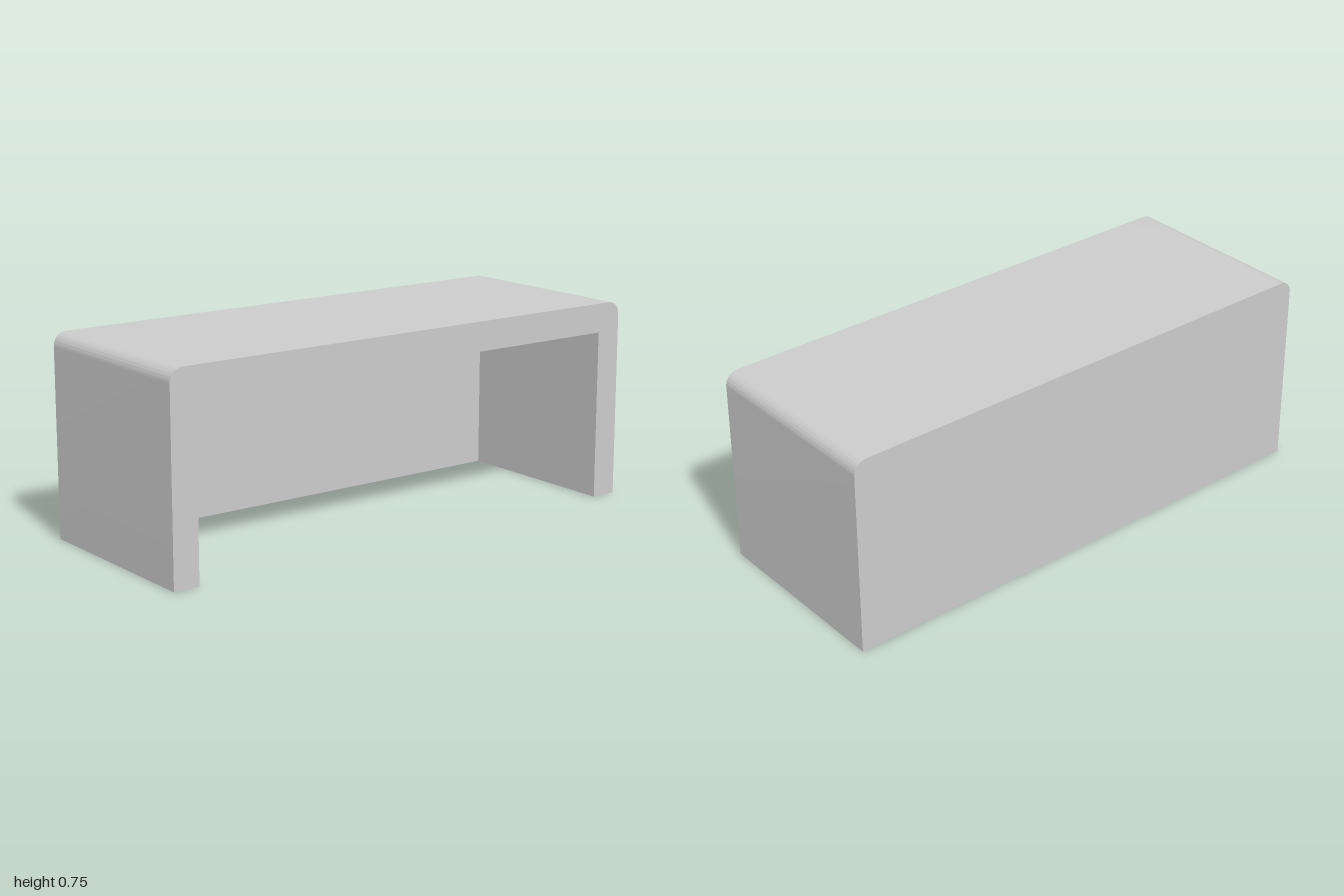
import * as THREE from 'three';
import { toCreasedNormals } from 'three/addons/utils/BufferGeometryUtils.js';

const H = 0.75, D = 0.375, R = 0.05;            // height, half depth, corner radius
const IN_X = 0.9, IN_Y = 0.64, IN_BACK = -0.3;  // recess half width, height, rear plane

const material = new THREE.MeshStandardMaterial({ color: 0xcccccc, side: THREE.DoubleSide });

// Rounded outline from one foot over the top to the other
function outerOutline() {
  const s = new THREE.Shape();
  s.moveTo(-1, 0);
  s.lineTo(-1, H - R);
  s.absarc(-1 + R, H - R, R, Math.PI, Math.PI / 2, true);
  s.lineTo(1 - R, H);
  s.absarc(1 - R, H - R, R, Math.PI / 2, 0, true);
  s.lineTo(1, 0);
  return s;
}

// Open band sweeping a profile from zFront to zBack
function band(points, zFront, zBack) {
  const pos = [], index = [];
  points.forEach((p, i) => {
    pos.push(p.x, p.y, zFront, p.x, p.y, zBack);
    if (i) {
      const a = 2 * i - 2;
      index.push(a, a + 2, a + 1, a + 2, a + 3, a + 1);
    }
  });
  const g = new THREE.BufferGeometry();
  g.setAttribute('position', new THREE.Float32BufferAttribute(pos, 3));
  g.setIndex(index);
  return toCreasedNormals(g, Math.PI / 6);
}

export function createModel() {
  const group = new THREE.Group();
  group.name = 'desk';
  const add = (name, geometry) => {
    const mesh = new THREE.Mesh(geometry, material);
    mesh.name = name;
    group.add(mesh);
    return mesh;
  };

  // Outer shell: sides and top, open underneath
  const outline = outerOutline();
  const outerPoints = outline.getPoints(10).filter((p, i, all) => !i || p.distanceTo(all[i - 1]) > 1e-5);
  add('outerShell', band(outerPoints, D, -D));

  // Recess lining: inner sides and ceiling
  const recess = [[IN_X, 0], [IN_X, IN_Y], [-IN_X, IN_Y], [-IN_X, 0]].map(([x, y]) => new THREE.Vector2(x, y));
  add('recessLining', band(recess, D, IN_BACK));

  // Front frame around the recess
  const frame = outerOutline();
  for (const p of recess) frame.lineTo(p.x, p.y);
  frame.closePath();
  add('frontFrame', new THREE.ShapeGeometry(frame, 10)).position.z = D;

  // Outer back panel
  const back = add('backPanel', new THREE.ShapeGeometry(outline, 10));
  back.rotation.y = Math.PI;
  back.position.z = -D;

  // Inner back panel of the recess
  add('recessBack', new THREE.PlaneGeometry(2 * IN_X, IN_Y)).position.set(0, IN_Y / 2, IN_BACK);

  return group;
}
